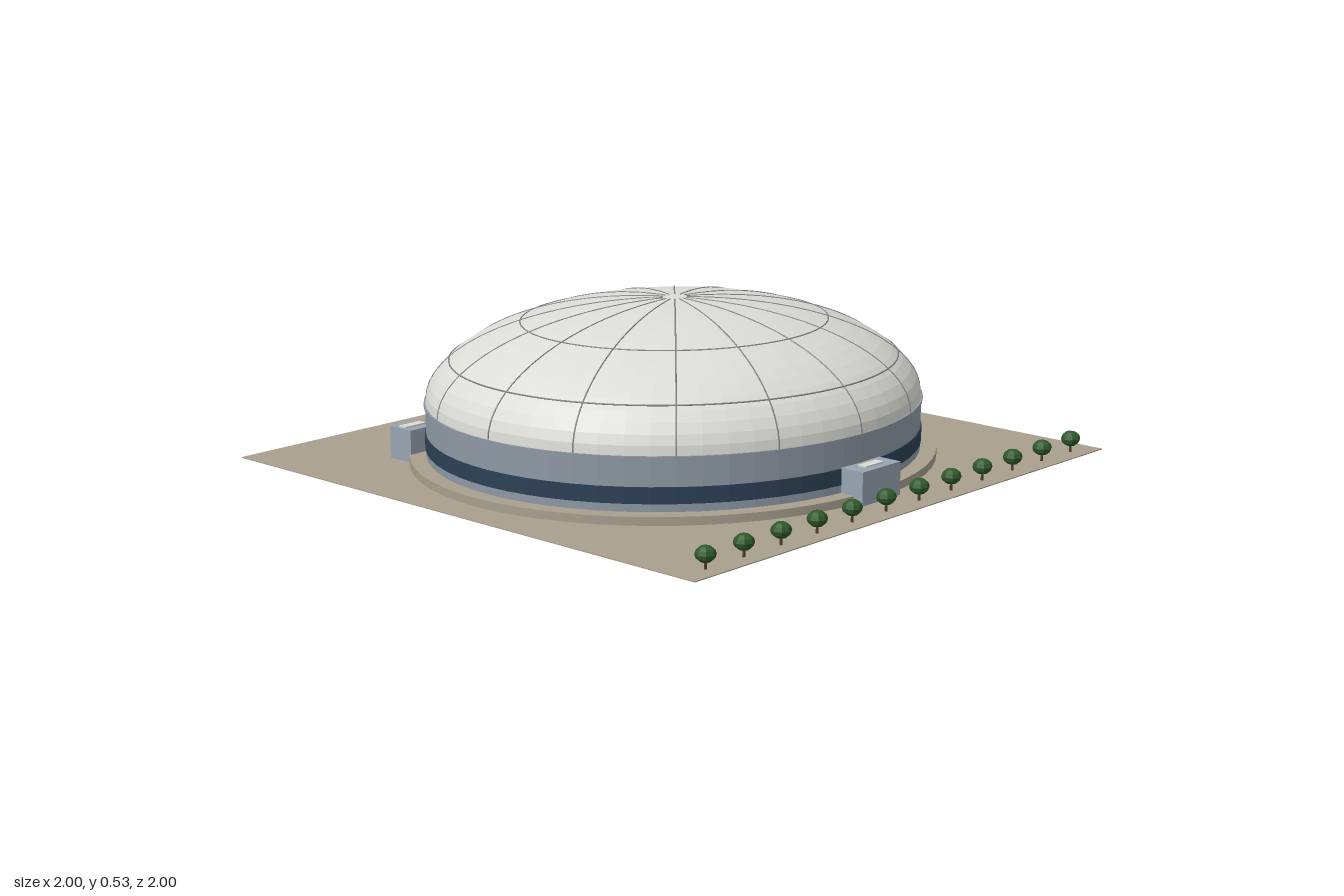
import * as THREE from 'three';

const mat = (name, color, extra = {}) => {
  const m = new THREE.MeshStandardMaterial({ color, ...extra });
  m.name = name;
  return m;
};

export function createModel() {
  const paving = mat('paving', 0xa89f8e);
  const wall = mat('wall', 0x8e98a4, { flatShading: true });
  const glass = mat('darkGlass', 0x2c4055, { flatShading: true });
  const roof = mat('roofShell', 0xdcdcd6, { flatShading: true });
  const seam = mat('seam', 0x85888a);
  const porch = mat('porch', 0x98a4b3);
  const leaf = mat('foliage', 0x2f5a2a, { flatShading: true });
  const bark = mat('bark', 0x4f3d2b);

  const RX = 0.835, RZ = 0.782, BASE = 0.2, RISE = 0.325;
  const model = new THREE.Group();
  model.name = 'domedArena';
  const add = (name, geo, material, x = 0, y = 0, z = 0, parent = model) => {
    const mesh = new THREE.Mesh(geo, material);
    mesh.name = name;
    mesh.position.set(x, y, z);
    parent.add(mesh);
    return mesh;
  };
  // Upright oval drum between two heights
  const oval = (name, material, rx, rz, y0, y1, open = false) => {
    const geo = new THREE.CylinderGeometry(1, 1, y1 - y0, 64, 1, open).scale(rx, 1, rz);
    return add(name, geo, material, 0, (y0 + y1) / 2, 0);
  };
  // Point on the roof shell: t is the share of the radius, a the angle
  const onRoof = (t, a) => new THREE.Vector3(
    RX * t * Math.sin(a), BASE + RISE * Math.sqrt(1 - t * t), RZ * t * Math.cos(a));

  // Site and walls
  add('ground', new THREE.BoxGeometry(2, 0.003, 2), paving, 0, 0.0015, 0);
  oval('plinth', paving, 0.89, 0.835, 0.002, 0.03);
  oval('drumWall', wall, RX, RZ, 0.03, BASE);
  oval('windowBand', glass, RX + 0.003, RZ + 0.003, 0.055, 0.107);
  oval('eavesLip', wall, RX + 0.006, RZ + 0.006, BASE - 0.006, BASE + 0.002);

  // Roof shell
  const shell = new THREE.SphereGeometry(1, 64, 16, 0, Math.PI * 2, 0, Math.PI / 2);
  add('roofShell', shell.scale(RX, RISE, RZ), roof, 0, BASE, 0);

  // Sixteen radial seams
  const seams = new THREE.Group();
  seams.name = 'roofSeams';
  model.add(seams);
  for (let i = 0; i < 16; i++) {
    const a = i * Math.PI / 8;
    const pts = [];
    for (let k = 0; k <= 16; k++) {
      pts.push(onRoof(Math.sin(0.05 + (Math.PI / 2 - 0.05) * k / 16), a));
    }
    add('radialSeam', new THREE.TubeGeometry(new THREE.CatmullRomCurve3(pts), 32, 0.0025, 5), seam, 0, 0, 0, seams);
  }
  // Ring seams
  for (const t of [0.62, 0.905]) {
    const pts = [];
    for (let k = 0; k < 64; k++) pts.push(onRoof(t, k * Math.PI / 32));
    add('ringSeam', new THREE.TubeGeometry(new THREE.CatmullRomCurve3(pts, true), 96, 0.0025, 5, true), seam, 0, 0, 0, seams);
  }

  // Entrance porches with a pale roof light
  for (const [name, x, z, w, d] of [
    ['frontEntrance', 0, 0.82, 0.185, 0.085],
    ['backLeftEntrance', 0.622, -0.587, 0.106, 0.1],
    ['backRightEntrance', -0.622, -0.587, 0.106, 0.1],
  ]) {
    const g = new THREE.Group();
    g.name = name;
    g.position.set(x, 0, z);
    model.add(g);
    add('porchBlock', new THREE.BoxGeometry(w, 0.108, d), porch, 0, 0.056, 0, g);
    add('roofLight', new THREE.BoxGeometry(0.088, 0.005, 0.032), roof, 0, 0.1125, 0, g);
  }

  // Row of trees along the front
  const crown = new THREE.SphereGeometry(0.032, 8, 6).scale(1, 0.8, 1);
  const trunk = new THREE.CylinderGeometry(0.004, 0.005, 0.03, 6);
  for (let i = 0; i < 12; i++) {
    const tree = new THREE.Group();
    tree.name = 'tree';
    tree.position.set(-0.895 + i * 1.79 / 11, 0, 0.945);
    model.add(tree);
    add('trunk', trunk, bark, 0, 0.016, 0, tree);
    add('crown', crown, leaf, 0, 0.048, 0, tree);
  }
  return model;
}
